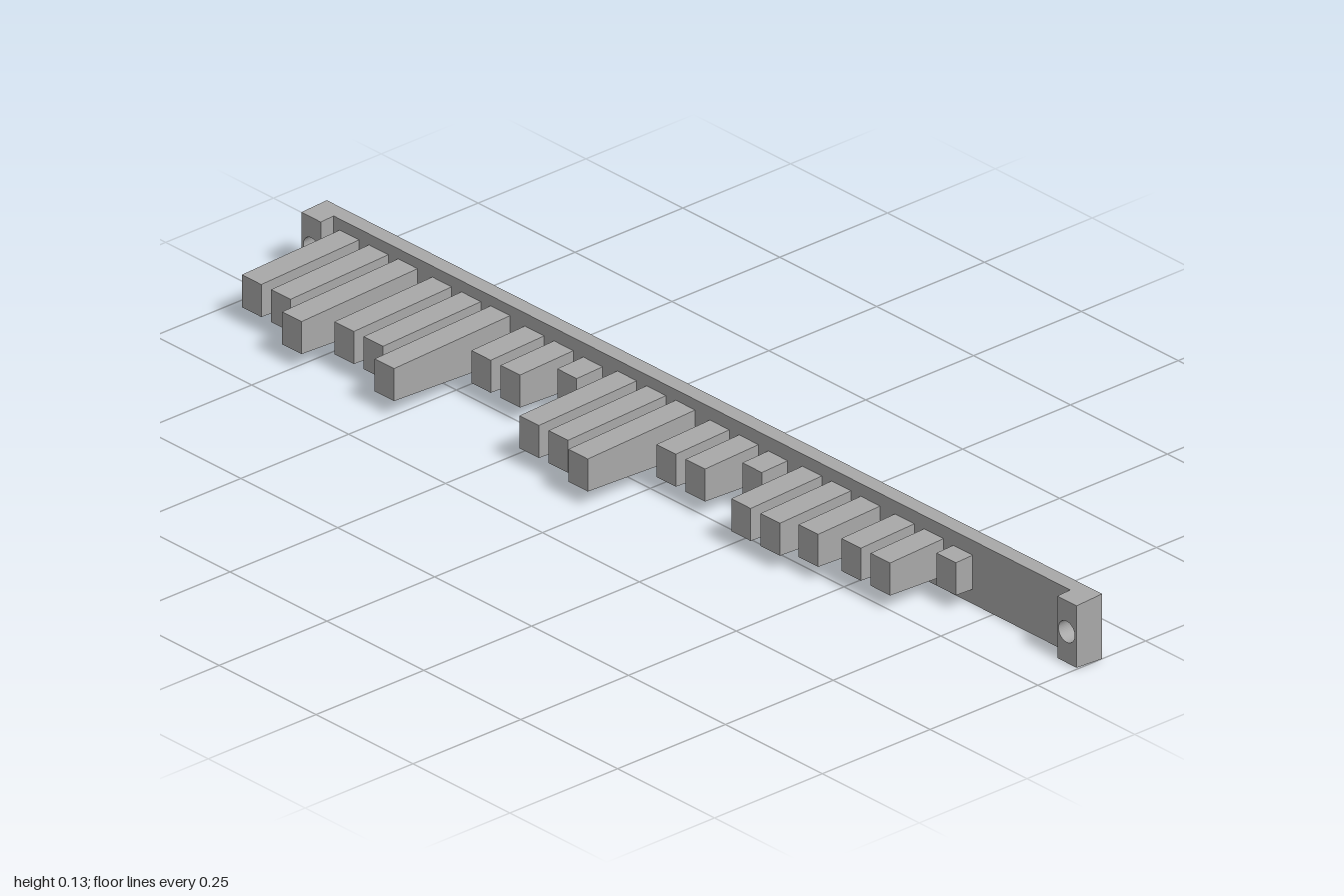
import * as THREE from 'three';

const BACK = -0.149, FACE = -0.12, LUG_FACE = -0.09, MID_Y = 0.063;

// Narrows a geometry in y towards the front, as moulded parts do
function taperY(geometry, halfHeightAt) {
  const p = geometry.attributes.position;
  for (let i = 0; i < p.count; i++) {
    p.setY(i, MID_Y + p.getY(i) * halfHeightAt(p.getZ(i)));
  }
  geometry.computeVertexNormals();
  return geometry;
}

// Upright slab of unit half height with round screw holes, from z0 to z1
function slab(x0, x1, z0, z1, holeXs) {
  const half = (z) => 0.063 - 0.05 * (z - BACK);
  const shape = new THREE.Shape();
  shape.moveTo(x0, -1);
  shape.lineTo(x1, -1);
  shape.lineTo(x1, 1);
  shape.lineTo(x0, 1);
  shape.closePath();
  for (const x of holeXs) {
    const hole = new THREE.Path();
    hole.absellipse(x, 0, 0.021, 0.021 / 0.062, 0, Math.PI * 2, true);
    shape.holes.push(hole);
  }
  const g = new THREE.ExtrudeGeometry(shape, { depth: z1 - z0, bevelEnabled: false, curveSegments: 24 });
  g.translate(0, 0, z0);
  return taperY(g, half);
}

// Tapered block from the plate to a tip of fixed height
function toothGeometry(tip) {
  const root = FACE - 0.004;
  const g = new THREE.BoxGeometry(0.05, 2, tip - root);
  g.translate(0, 0, (tip + root) / 2);
  return taperY(g, (z) => 0.0315 + 0.0385 * (tip - z));
}

export function createModel() {
  const group = new THREE.Group();
  const grey = new THREE.MeshStandardMaterial({ color: 0xa8a8a8 });
  grey.name = 'grey';
  const add = (name, geometry, x = 0) => {
    const mesh = new THREE.Mesh(geometry, grey);
    mesh.name = name;
    mesh.position.x = x;
    group.add(mesh);
  };

  // Long back plate with a screw hole at each end
  add('backPlate', slab(-1, 1, BACK, FACE, [-0.974, 0.974]));

  // Raised end lugs around the holes
  add('rightLug', slab(-1, -0.95, FACE, LUG_FACE, [-0.974]));
  add('leftLug', slab(0.95, 1, FACE, LUG_FACE, [0.974]));

  // Seven groups of three teeth: tip positions in z
  const tips = [
    [0.107, 0.107, 0.149], [0.107, 0.107, 0.149], [0.004, 0.004, -0.06],
    [0.107, 0.107, 0.129], [0.004, 0.004, -0.06], [0.045, 0.045, 0.024],
    [0.004, 0.004, -0.081],
  ];
  tips.forEach((row, i) => row.forEach((tip, j) => {
    add('tooth' + (i * 3 + j + 1), toothGeometry(tip), -0.834 + 0.2387 * i + 0.0753 * (j - 1));
  }));

  return group;
}
